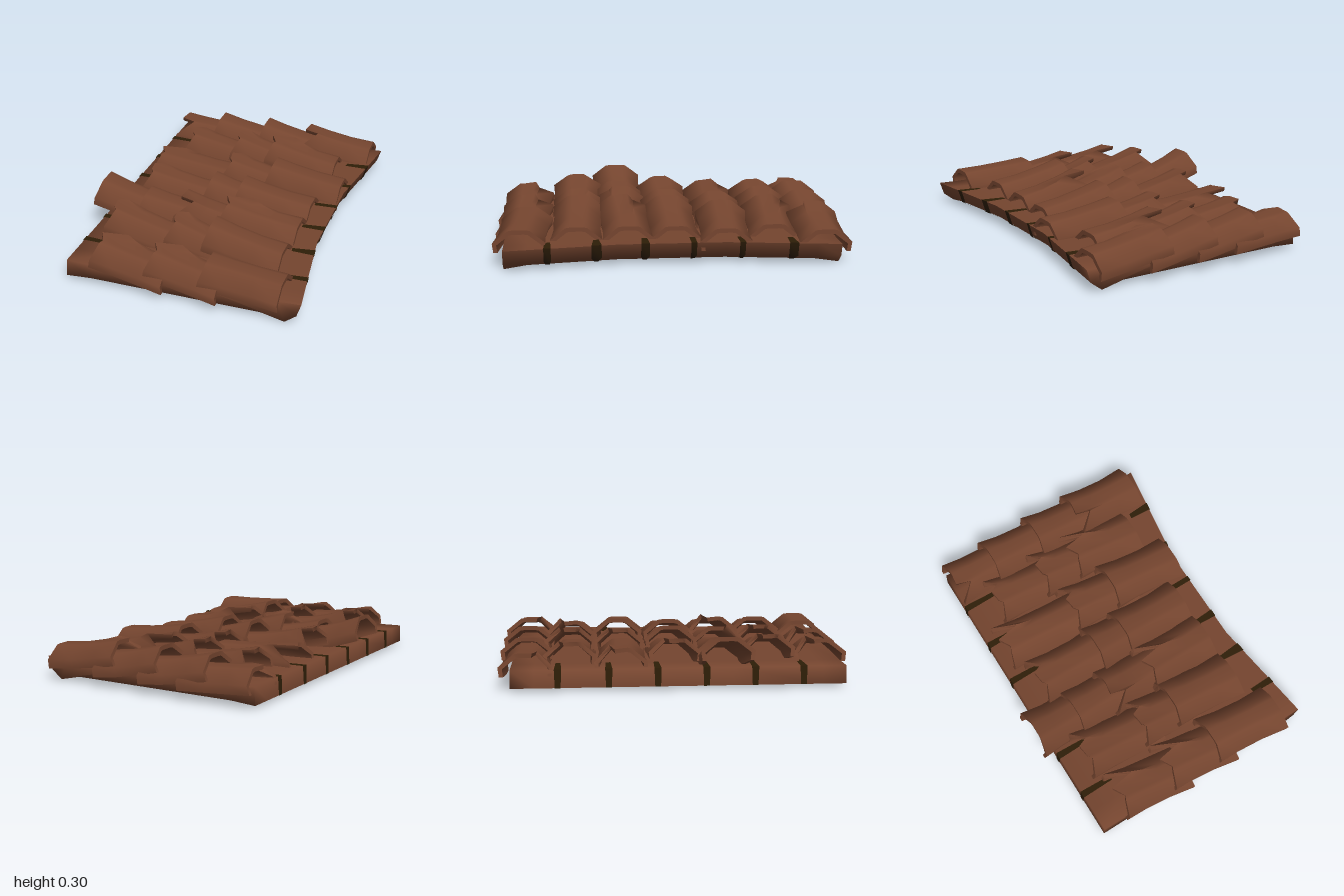
import * as THREE from 'three';
import { toCreasedNormals } from 'three/addons/utils/BufferGeometryUtils.js';

const clay = new THREE.MeshStandardMaterial({ color: 0x75452f });
clay.name = 'clay';
const moss = new THREE.MeshStandardMaterial({ color: 0x2e1e08, side: THREE.DoubleSide });
moss.name = 'darkMoss';

// Skin a list of cross-sections; closed rings also get end caps.
function sweep(rings, closed, crease) {
  const pos = [];
  const quad = (a, b, c, d) => pos.push(...a, ...b, ...c, ...a, ...c, ...d);
  const n = rings[0].length;
  for (let i = 0; i + 1 < rings.length; i++) {
    for (let k = 0; k < (closed ? n : n - 1); k++) {
      const m = (k + 1) % n;
      quad(rings[i][k], rings[i][m], rings[i + 1][m], rings[i + 1][k]);
    }
  }
  if (closed) {
    const s = rings[0], e = rings[rings.length - 1];
    for (let k = 0; k < n / 2 - 1; k++) {
      quad(s[k], s[n - 1 - k], s[n - 2 - k], s[k + 1]);
      quad(e[k], e[k + 1], e[n - 2 - k], e[n - 1 - k]);
    }
  }
  const geo = new THREE.BufferGeometry();
  geo.setAttribute('position', new THREE.Float32BufferAttribute(pos, 3));
  return toCreasedNormals(geo, crease);
}

function addMesh(parent, name, geo, mat) {
  const mesh = new THREE.Mesh(geo, mat);
  mesh.name = name;
  parent.add(mesh);
  return mesh;
}

// Slab outline at depth z: top from -x to +x, then hollow underside back again.
function slabSection(z) {
  const e = 0.62 + 0.09 * Math.max(0, Math.abs(z) - 0.3) / 0.63;
  const atEnd = Math.abs(z) > 0.9;
  const under = atEnd ? 0.03 : 0.05;
  return [
    [-0.64, 0.12], [-0.45, 0.115], [0.1, 0.12], [e - 0.13, 0.12], [e, 0.125],
    [e - 0.025, 0.05], [e - 0.09, atEnd ? 0 : 0.015], [e - 0.2, under], [-0.5, under], [-0.645, 0.02],
  ].map(([x, y]) => [x, y, z]);
}

// Moss strip that hugs part of the slab outline.
function mossWrap(z, points) {
  const row = (side) => points.map(([k, dx, dy, w]) => {
    const p = slabSection(z + side * w)[k];
    return [p[0] + dx, p[1] + dy, p[2]];
  });
  return sweep([row(1), row(-1)], false, 0.9);
}

// Tapered, ragged sliver for the underside.
function mossSliver(length, width) {
  const s = new THREE.Shape([
    [-0.5, -0.3], [-0.3, -0.5], [-0.1, -0.2], [0.3, -0.25], [0.45, -0.5],
    [0.5, 0.2], [0.2, 0.25], [-0.2, 0.2], [-0.35, 0.5], [-0.5, 0.3],
  ].map(([x, y]) => new THREE.Vector2(x * length, y * width)));
  return new THREE.ShapeGeometry(s).rotateX(Math.PI / 2);
}

// Arched tile: U across the width, V up the height, and how far each left edge point is broken away.
const U = [-0.95, -1, -0.42, -0.25, 0.25, 0.42, 1, 0.95];
const V = [0, 0.42, 0.97, 1, 1, 0.97, 0.42, 0];
const ends = {
  plain: [0, 0, 0, 0, 0, 0, 0, 0],
  deep: [0, 0, 0.13, -0.02, 0.02, 0.01, 0, 0],
  mild: [0, 0, 0.05, -0.01, 0, 0.02, 0, 0],
  far: [0, 0, 0, 0, -0.01, 0.08, 0, 0],
};

function tileGeometry(x0, x1, z0, z1, topL, topR, end) {
  const height = 0.125, thick = 0.024, last = U.length - 1;
  const rings = [0, 0.3, 0.65, 1].map((t) => {
    const half = 0.15 - 0.06 * t * (1 - t) - 0.004 * t;
    const top = topR + (topL - topR) * Math.pow(1 - t, 1.4);
    const zc = z0 + (z1 - z0) * t;
    const point = (j, inset) => [
      x0 + (x1 - x0) * t + ends[end][j] * (1 - t) ** 2 + 0.03 * V[j] * (1 - t),
      top - height + V[j] * (height - inset),
      zc + U[j] * (half - inset),
    ];
    return [...U.map((_, j) => point(j, 0)), ...U.map((_, j) => point(last - j, thick))];
  });
  return sweep(rings, true, 1.15);
}

// Each row: centre z at both ends, then tiles [left x, right x, left top, right top, end].
const rows = [
  [-0.845, -0.85, [[-0.645, -0.2, 0.21, 0.18, 'far'], [-0.385, 0.05, 0.25, 0.18, 'plain'],
    [-0.075, 0.35, 0.26, 0.18, 'plain'], [0.21, 0.66, 0.26, 0.195, 'far']]],
  [-0.605, -0.585, [[-0.49, -0.05, 0.24, 0.18, 'mild'], [-0.18, 0.25, 0.265, 0.18, 'mild'],
    [0.05, 0.5, 0.265, 0.19, 'deep']]],
  [-0.32, -0.3, [[-0.595, -0.05, 0.22, 0.18, 'deep'], [-0.135, 0.3, 0.25, 0.18, 'mild'],
    [0.145, 0.61, 0.26, 0.2, 'plain']]],
  [-0.015, -0.03, [[-0.535, -0.05, 0.26, 0.18, 'mild'], [-0.145, 0.25, 0.265, 0.18, 'plain'],
    [0.045, 0.5, 0.27, 0.19, 'plain']]],
  [0.26, 0.235, [[-0.72, -0.3, 0.3, 0.19, 'plain'], [-0.455, -0.05, 0.25, 0.18, 'plain'],
    [-0.225, 0.2, 0.27, 0.18, 'far'], [0.045, 0.5, 0.28, 0.195, 'deep']]],
  [0.51, 0.53, [[-0.545, -0.05, 0.28, 0.18, 'mild'], [-0.18, 0.2, 0.27, 0.18, 'mild'],
    [0.045, 0.5, 0.28, 0.195, 'plain']]],
  [0.81, 0.845, [[-0.5, -0.06, 0.24, 0.175, 'deep'], [-0.18, 0.25, 0.24, 0.175, 'deep'],
    [0.13, 0.595, 0.235, 0.21, 'plain']]],
];

export function createModel() {
  const model = new THREE.Group();
  model.name = 'tiledRoofSection';

  // Base slab with flared +x corners, softly shaded edges and a hollow underside
  const stations = [0.93, 0.8, 0.3, -0.3, -0.8, -0.93];
  addMesh(model, 'baseSlab', sweep(stations.map(slabSection), true, 1.75), clay);

  // Overlapping rows of arched tiles
  rows.forEach(([zL, zR, tiles], r) => {
    const row = new THREE.Group();
    row.name = `tileRow${r + 1}`;
    tiles.forEach(([x0, x1, a, b, end]) => {
      addMesh(row, 'archedTile', tileGeometry(x0, x1, zL, zR, a, b, end), clay);
    });
    model.add(row);
  });

  // Mossy cracks between the rows: edges and underside
  const cracks = new THREE.Group();
  cracks.name = 'mossyCracks';
  [0.69, 0.42, 0.15, -0.12, -0.39, -0.67].forEach((z, i) => {
    const wide = [0.02, 0.028, 0.024, 0.016, 0.016, 0.025][i];
    addMesh(cracks, 'rightEdgeMoss', mossWrap(z, [
      [3, 0, 0.004, 0.016], [4, 0.004, 0.004, wide], [5, 0.004, -0.003, wide], [6, 0.002, -0.004, 0.012],
    ]), moss);
    addMesh(cracks, 'leftEdgeMoss', mossWrap(z, [
      [9, -0.004, 0, 0.016], [0, -0.004, 0.004, 0.02], [1, 0, 0.004, 0.014],
    ]), moss);
    [[0.28, 0.2], [-0.08, 0.36], [-0.4, 0.14]].forEach(([x, length], j) => {
      const sliver = addMesh(cracks, 'undersideMoss', mossSliver(length, 0.05), moss);
      sliver.position.set(x + 0.03 * ((i + j) % 2), 0.047, z);
    });
  });
  model.add(cracks);
  return model;
}
